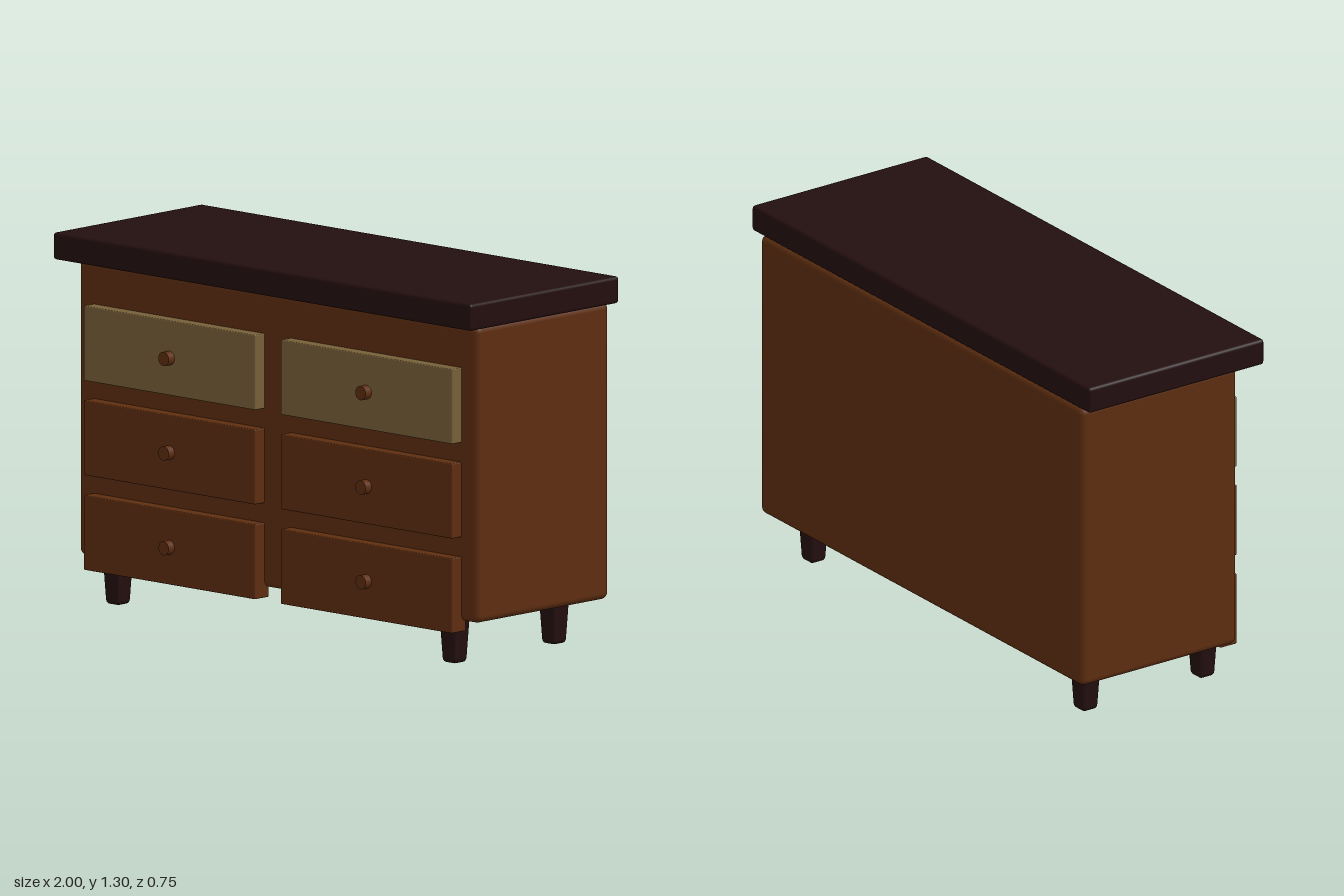
import * as THREE from 'three';
import { RoundedBoxGeometry } from 'three/addons/geometries/RoundedBoxGeometry.js';

const paint = (name, color) => {
  const m = new THREE.MeshStandardMaterial({ color });
  m.name = name;
  return m;
};

// Rounded box given by its extents on each axis
function block(name, [x0, x1], [y0, y1], [z0, z1], radius, material) {
  const geometry = new RoundedBoxGeometry(x1 - x0, y1 - y0, z1 - z0, 3, radius);
  const mesh = new THREE.Mesh(geometry, material);
  mesh.position.set((x0 + x1) / 2, (y0 + y1) / 2, (z0 + z1) / 2);
  mesh.name = name;
  return mesh;
}

// Square rounded leg, narrowing towards the floor
function legGeometry() {
  const height = 0.19;
  const g = new RoundedBoxGeometry(0.086, height, 0.086, 3, 0.016);
  const p = g.attributes.position;
  for (let i = 0; i < p.count; i++) {
    const k = 0.74 + 0.26 * (p.getY(i) / height + 0.5);
    p.setX(i, p.getX(i) * k);
    p.setZ(i, p.getZ(i) * k);
  }
  return g.translate(0, height / 2, 0);
}

export function createModel() {
  const wood = paint('brown wood', 0x5e2e10);
  const dark = paint('dark wood', 0x230e0f);
  const cream = paint('tan drawer', 0x776039);
  const group = new THREE.Group();
  group.name = 'dresser';

  // Cabinet and overhanging top
  group.add(block('cabinet', [-0.955, 0.955], [0.157, 1.205], [-0.374, 0.293], 0.025, wood));
  group.add(block('tabletop', [-1, 1], [1.205, 1.3], [-0.375, 0.375], 0.012, dark));

  // Two columns of three drawers, each with a round knob
  const knobGeometry = new THREE.CylinderGeometry(0.025, 0.025, 0.05, 24).rotateX(Math.PI / 2);
  for (const x of [-0.473, 0.469]) {
    [0.253, 0.587, 0.92].forEach((y, row) => {
      const drawer = new THREE.Group();
      drawer.name = 'drawer';
      drawer.add(block('drawerFront', [x - 0.41, x + 0.41], [y - 0.132, y + 0.132],
        [0.27, 0.341], 0.004, row === 2 ? cream : wood));
      const knob = new THREE.Mesh(knobGeometry, wood);
      knob.name = 'knob';
      knob.position.set(x, y, 0.345);
      drawer.add(knob);
      group.add(drawer);
    });
  }

  // Four tapered legs
  const legs = legGeometry();
  for (const x of [-0.805, 0.805]) {
    for (const z of [-0.25, 0.25]) {
      const leg = new THREE.Mesh(legs, dark);
      leg.name = 'leg';
      leg.position.set(x, 0, z);
      group.add(leg);
    }
  }
  return group;
}
